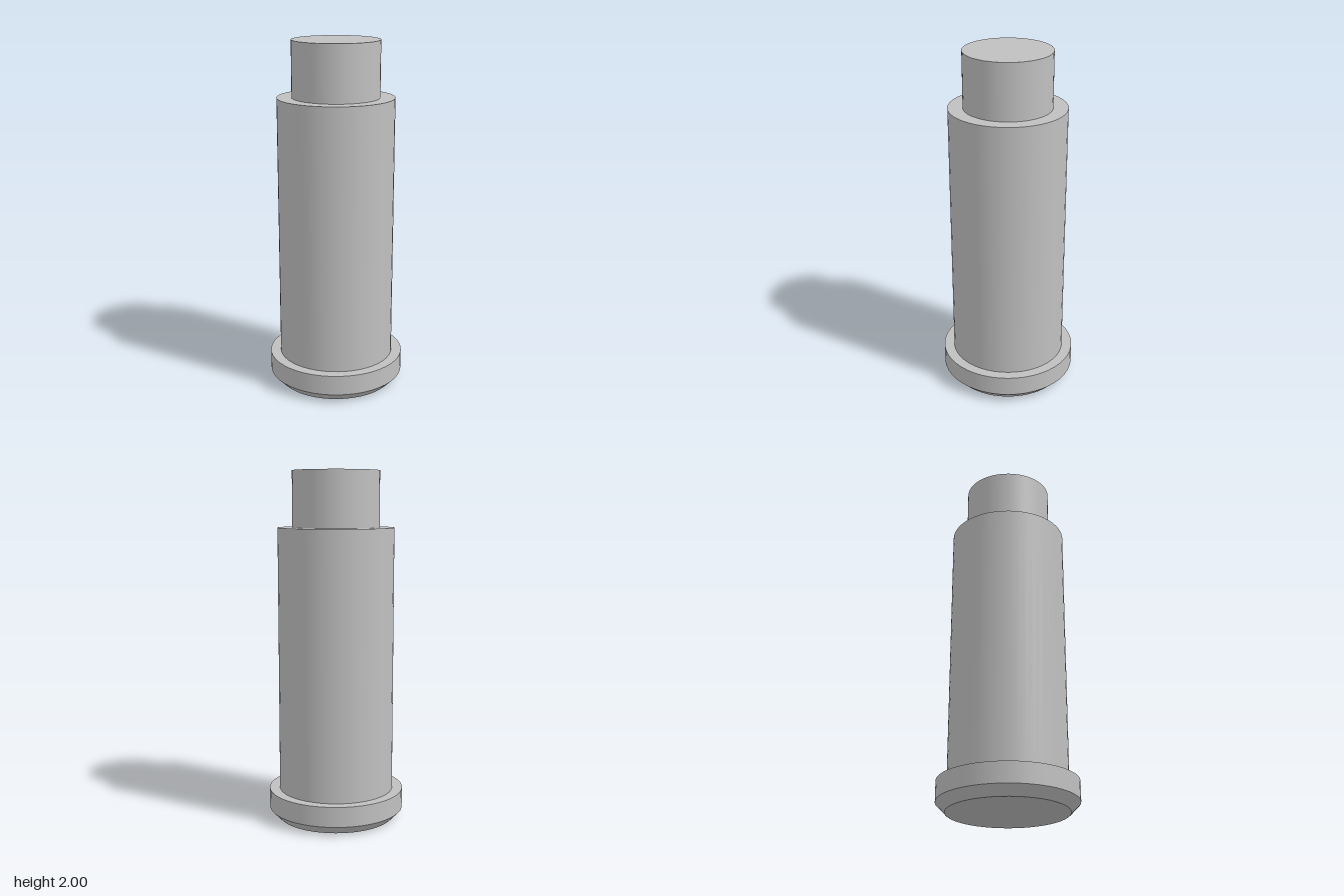
import * as THREE from 'three';

const SIDES = 48;

export function createModel() {
  const model = new THREE.Group();
  model.name = 'steppedPin';
  const metal = new THREE.MeshStandardMaterial({ color: 0xc0c0c0 });
  metal.name = 'light grey metal';

  // Upright round section between two heights
  const section = (name, y0, y1, bottomRadius, topRadius, open = false) => {
    const geometry = new THREE.CylinderGeometry(topRadius, bottomRadius, y1 - y0, SIDES, 1, open);
    const mesh = new THREE.Mesh(geometry, metal);
    mesh.name = name;
    mesh.position.y = (y0 + y1) / 2;
    model.add(mesh);
  };

  // Flat, outward-facing ring or disc
  const face = (name, y, inner, outer, up) => {
    const geometry = inner > 0
      ? new THREE.RingGeometry(inner, outer, SIDES)
      : new THREE.CircleGeometry(outer, SIDES);
    const mesh = new THREE.Mesh(geometry, metal);
    mesh.name = name;
    mesh.rotation.x = up ? -Math.PI / 2 : Math.PI / 2;
    mesh.position.y = y;
    model.add(mesh);
  };

  // Chamfered foot and flange
  face('footBase', 0, 0, 0.338, false);
  section('footChamfer', 0, 0.053, 0.338, 0.39, true);
  section('flange', 0.053, 0.168, 0.39, 0.39, true);
  face('flangeTop', 0.168, 0.331, 0.39, true);

  // Long barrel
  section('barrel', 0.168, 1.683, 0.331, 0.331, true);
  face('barrelShoulder', 1.683, 0.248, 0.331, true);

  // Narrow tip
  section('tip', 1.683, 2, 0.248, 0.248, true);
  face('tipTop', 2, 0, 0.248, true);

  return model;
}
